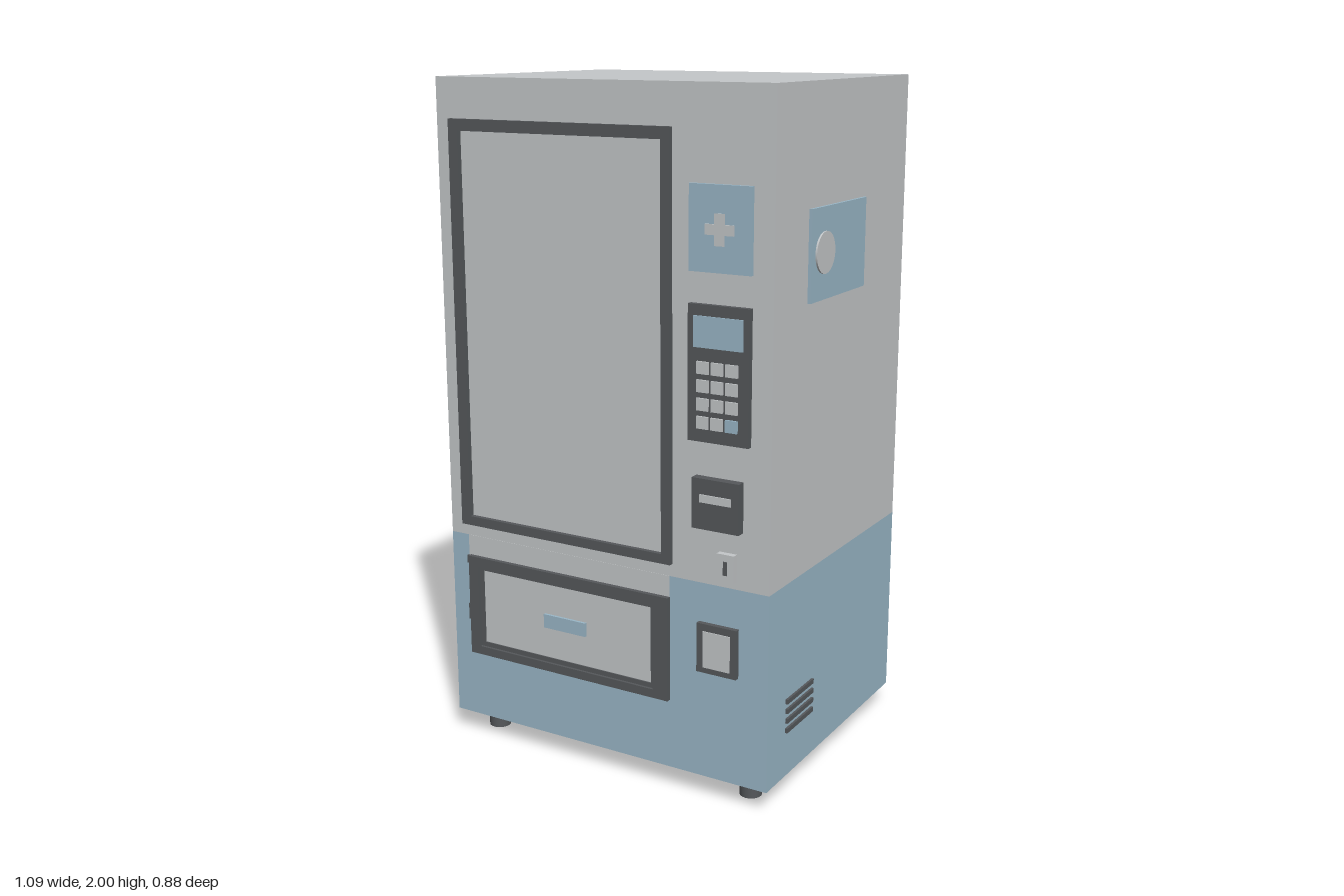
import * as THREE from 'three';

const mat = (name, color) => {
  const m = new THREE.MeshStandardMaterial({ color });
  m.name = name;
  return m;
};

export function createModel() {
  const model = new THREE.Group();
  model.name = 'vendingMachine';
  const grey = mat('light grey', 0xc4c7c9);
  const blue = mat('pale blue', 0x9ab7c7);
  const dark = mat('charcoal', 0x55585b);

  const FRONT = 0.41, BACK = -0.442, LEFT = 0.532, RIGHT = -0.547;

  const add = (name, geo, material) => {
    const mesh = new THREE.Mesh(geo, material);
    mesh.name = name;
    model.add(mesh);
    return mesh;
  };
  // Box given by its limits on each axis
  const box = (name, material, x0, x1, y0, y1, z0, z1) =>
    add(name, new THREE.BoxGeometry(x1 - x0, y1 - y0, z1 - z0), material)
      .position.set((x0 + x1) / 2, (y0 + y1) / 2, (z0 + z1) / 2);
  // Plate standing on the front panel
  const plate = (name, material, x0, x1, y0, y1, z1, z0 = FRONT) =>
    box(name, material, x0, x1, y0, y1, z0, z1);
  const rect = (P, x0, x1, y0, y1) => {
    const p = new P();
    p.moveTo(x0, y0);
    p.lineTo(x1, y0);
    p.lineTo(x1, y1);
    p.lineTo(x0, y1);
    p.closePath();
    return p;
  };
  // Rectangular frame with an open middle: outer and inner limits
  const frame = (name, material, o, i, z1) => {
    const shape = rect(THREE.Shape, ...o);
    shape.holes.push(rect(THREE.Path, ...i));
    add(name, new THREE.ExtrudeGeometry(shape, { depth: z1 - FRONT, bevelEnabled: false }), material)
      .position.z = FRONT;
  };

  // Cabinet in two colours
  box('cabinetBase', blue, RIGHT, LEFT, 0.067, 0.65, BACK, FRONT);
  box('cabinetUpper', grey, RIGHT, LEFT, 0.65, 2, BACK, FRONT);
  plate('trayBackPlate', grey, -0.485, 0.22, 0.29, 0.65, FRONT + 0.001);

  // Feet
  for (const x of [-0.457, 0.437]) {
    for (const z of [0.32, -0.346]) {
      add('foot', new THREE.CylinderGeometry(0.033, 0.033, 0.07, 20), dark).position.set(x, 0.035, z);
    }
  }

  // Display window frame
  frame('windowFrame', dark, [-0.498, 0.229, 0.687, 1.885], [-0.465, 0.2, 0.715, 1.852], 0.424);

  // Delivery tray with flap, handle and hinge
  frame('trayFrame', dark, [-0.478, 0.221, 0.276, 0.588], [-0.443, 0.172, 0.302, 0.558], 0.425);
  frame('trayInnerFrame', dark, [-0.443, 0.172, 0.302, 0.558], [-0.429, 0.161, 0.316, 0.547], 0.417);
  plate('trayFlap', grey, -0.429, 0.161, 0.316, 0.547, 0.413);
  plate('trayHandle', blue, -0.207, -0.061, 0.411, 0.453, 0.421);
  plate('trayHinge', dark, -0.489, -0.478, 0.38, 0.43, 0.417);
  plate('trayHinge', dark, -0.489, -0.478, 0.562, 0.586, 0.417);

  // Sign with a plus mark
  plate('frontSign', blue, 0.286, 0.471, 1.515, 1.744, 0.422);
  plate('plusBar', grey, 0.336, 0.421, 1.614, 1.642, 0.427, 0.42);
  plate('plusPostTop', grey, 0.364, 0.393, 1.642, 1.67, 0.427, 0.42);
  plate('plusPostBottom', grey, 0.364, 0.393, 1.586, 1.614, 0.427, 0.42);

  // Keypad with screen and twelve keys
  plate('keypad', dark, 0.286, 0.471, 1.057, 1.43, 0.426);
  plate('keypadScreen', blue, 0.304, 0.453, 1.315, 1.4, 0.43, 0.424);
  for (let row = 0; row < 4; row++) {
    for (let col = 0; col < 3; col++) {
      const x = 0.333 + col * 0.044, y = 1.261 - row * 0.05;
      plate('key', row === 3 && col === 2 ? blue : grey,
        x - 0.018, x + 0.018, y - 0.017, y + 0.017, 0.432, 0.424);
    }
  }

  // Banknote reader
  plate('noteReader', dark, 0.305, 0.45, 0.815, 0.958, 0.437);
  plate('noteSlot', grey, 0.331, 0.427, 0.892, 0.914, 0.441, 0.435);

  // Coin slot
  plate('coinPlate', grey, 0.379, 0.432, 0.672, 0.751, 0.428);
  plate('coinSlot', dark, 0.4, 0.411, 0.692, 0.731, 0.431, 0.426);

  // Coin return
  plate('coinReturn', dark, 0.315, 0.44, 0.391, 0.536, 0.425);
  plate('coinReturnFlap', grey, 0.336, 0.421, 0.408, 0.515, 0.428, 0.423);

  // Side sign with a disc
  box('sideSign', blue, LEFT, 0.541, 1.417, 1.67, -0.139, 0.213);
  const disc = add('sideDisc', new THREE.CylinderGeometry(0.058, 0.058, 0.007, 40), grey);
  disc.rotation.z = Math.PI / 2;
  disc.position.set(0.5425, 1.546, 0.131);

  // Side vents
  for (let i = 0; i < 4; i++) {
    const y = 0.298 - i * 0.0295;
    box('ventSlat', dark, LEFT, 0.539, y - 0.007, y + 0.007, 0.13, 0.298);
  }
  return model;
}
